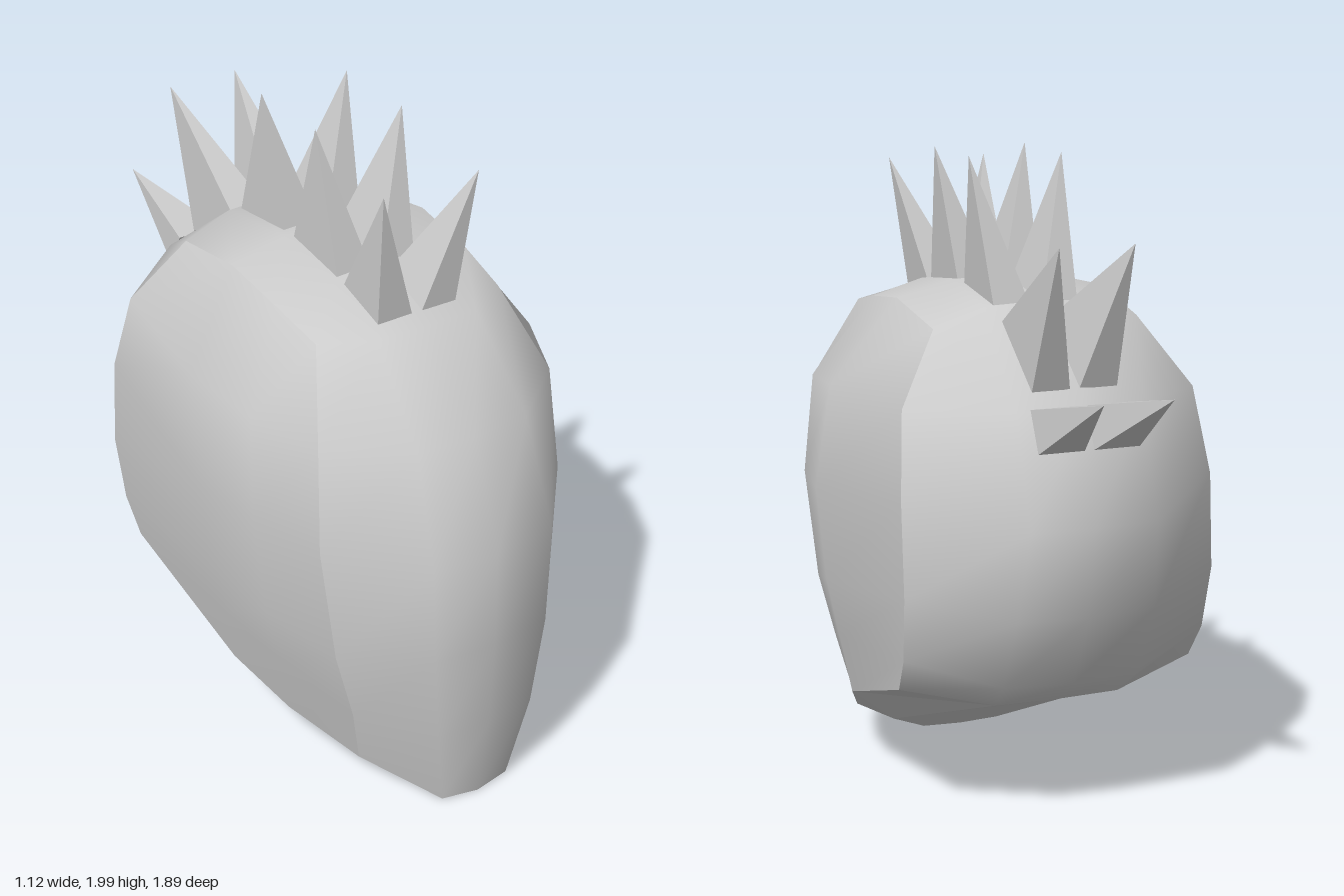
import * as THREE from 'three';

// Grid surface from rows of [x, y, z] points
function gridGeometry(rows) {
  const w = rows[0].length, index = [];
  for (let r = 0; r < rows.length - 1; r++) {
    for (let c = 0; c < w - 1; c++) {
      const a = r * w + c, b = a + 1, d = a + w, e = d + 1;
      index.push(a, b, e, a, e, d);
    }
  }
  const g = new THREE.BufferGeometry();
  g.setAttribute('position', new THREE.Float32BufferAttribute(rows.flat(2), 3));
  g.setIndex(index);
  g.computeVertexNormals();
  return g;
}

const flip = ([x, y, z]) => [-x, y, z];
// Half row (centre to edge) to full row (right edge to left edge)
const fullRow = ([c, m, e]) => [flip(e), flip(m), c, m, e];

// Four-sided spike: base runs along the crest from front to back
function spikeGeometry(base, apex) {
  const [a, b, c, d] = base;
  const tris = [a, b, apex, b, c, apex, c, d, apex, d, a, apex, a, c, b, a, d, c];
  const g = new THREE.BufferGeometry();
  g.setAttribute('position', new THREE.Float32BufferAttribute(tris.flat(), 3));
  g.computeVertexNormals();
  return g;
}

export function createModel() {
  const model = new THREE.Group();
  const smooth = new THREE.MeshStandardMaterial({ color: 0xcccccc });
  const faceted = new THREE.MeshStandardMaterial({ color: 0xcccccc, flatShading: true });
  const add = (name, geometry, material, parent = model) => {
    const mesh = new THREE.Mesh(geometry, material);
    mesh.name = name;
    parent.add(mesh);
  };

  // Half rows: centre, mid, crease. Front goes up, back goes down.
  const front = [
    [[0, 0.01, 0.89], [0.12, 0.015, 0.87], [0.26, 0.07, 0.62]],
    [[0, 0.3, 0.93], [0.17, 0.3, 0.91], [0.31, 0.28, 0.66]],
    [[0, 0.6, 0.945], [0.2, 0.6, 0.925], [0.38, 0.53, 0.67]],
    [[0, 0.92, 0.94], [0.21, 0.92, 0.92], [0.43, 0.92, 0.66]],
    [[0, 1.25, 0.81], [0.19, 1.25, 0.8], [0.41, 1.25, 0.62]],
    [[0, 1.5, 0.57], [0.17, 1.5, 0.565], [0.32, 1.49, 0.47]],
  ];
  const top = [
    [[0, 1.575, 0.33], [0.16, 1.57, 0.32], [0.335, 1.53, 0.28]],
    [[0, 1.61, 0.05], [0.16, 1.605, 0.05], [0.34, 1.56, 0.05]],
  ];
  const back = [
    [[0, 1.57, -0.25], [0.17, 1.565, -0.25], [0.33, 1.51, -0.24]],
    [[0, 1.32, -0.59], [0.2, 1.31, -0.57], [0.47, 1.3, -0.35]],
    [[0, 0.98, -0.69], [0.2, 0.98, -0.685], [0.5, 1.04, -0.42]],
    [[0, 0.7, -0.65], [0.22, 0.7, -0.63], [0.5, 0.75, -0.44]],
    [[0, 0.46, -0.53], [0.22, 0.47, -0.52], [0.49, 0.55, -0.4]],
    [[0, 0.38, -0.42], [0.2, 0.38, -0.41], [0.48, 0.44, -0.33]],
  ];
  add('centralShell', gridGeometry([...front, ...top, ...back].map(fullRow)), smooth);

  // Bulging side panels between the front and back creases
  const nearSide = [
    [0.37, 0.16, 0.39], [0.43, 0.4, 0.43], [0.48, 0.6, 0.44],
    [0.52, 0.95, 0.44], [0.5, 1.27, 0.4], [0.335, 1.53, 0.28],
  ];
  const midSide = [
    [0.45, 0.27, 0.2], [0.49, 0.46, 0.2], [0.53, 0.65, 0.2],
    [0.56, 0.95, 0.2], [0.535, 1.29, 0.12], [0.34, 1.56, 0.05],
  ];
  const side = front.map((row, i) => [row[2], nearSide[i], midSide[i], back[5 - i][2]]);
  add('leftPanel', gridGeometry(side), smooth);
  add('rightPanel', gridGeometry(side.map(r => r.map(flip).reverse())), smooth);

  // Sloped underside with bevelled rim
  const underside = [
    back[5],
    [[0, 0.14, 0.25], [0.31, 0.16, 0.2], midSide[0]],
    [[0, 0.04, 0.41], [0.13, 0.045, 0.41], nearSide[0]],
    front[0],
  ];
  add('underside', gridGeometry(underside.map(fullRow)), faceted);

  // Double crest of spikes: base front and back [z, y], apex [z, y], apex x right and left
  const crest = new THREE.Group();
  crest.name = 'crest';
  model.add(crest);
  const spikes = [
    [[0.51, 1.51], [0.33, 1.56], [0.53, 1.93], -0.135, 0.19],
    [[0.3, 1.56], [0.06, 1.59], [0.18, 2], -0.135, 0.165],
    [[0.01, 1.59], [-0.24, 1.55], [-0.11, 2], -0.135, 0.165],
    [[-0.3, 1.53], [-0.53, 1.36], [-0.68, 1.8], -0.12, 0.115],
    [[-0.58, 1.32], [-0.64, 1.2], [-0.95, 1.4], -0.12, 0.095],
  ];
  spikes.forEach(([f, b, tip, xRight, xLeft], i) => {
    const outer = i === 4 ? 0.16 : 0.135;
    [[-outer, -0.015, xRight, 'right'], [0.015, outer, xLeft, 'left']].forEach(([x0, x1, tx, label]) => {
      const base = [[x0, f[1], f[0]], [x1, f[1], f[0]], [x1, b[1], b[0]], [x0, b[1], b[0]]];
      add(`${label}Spike${i + 1}`, spikeGeometry(base, [tx, tip[1], tip[0]]), faceted, crest);
    });
  });

  return model;
}
